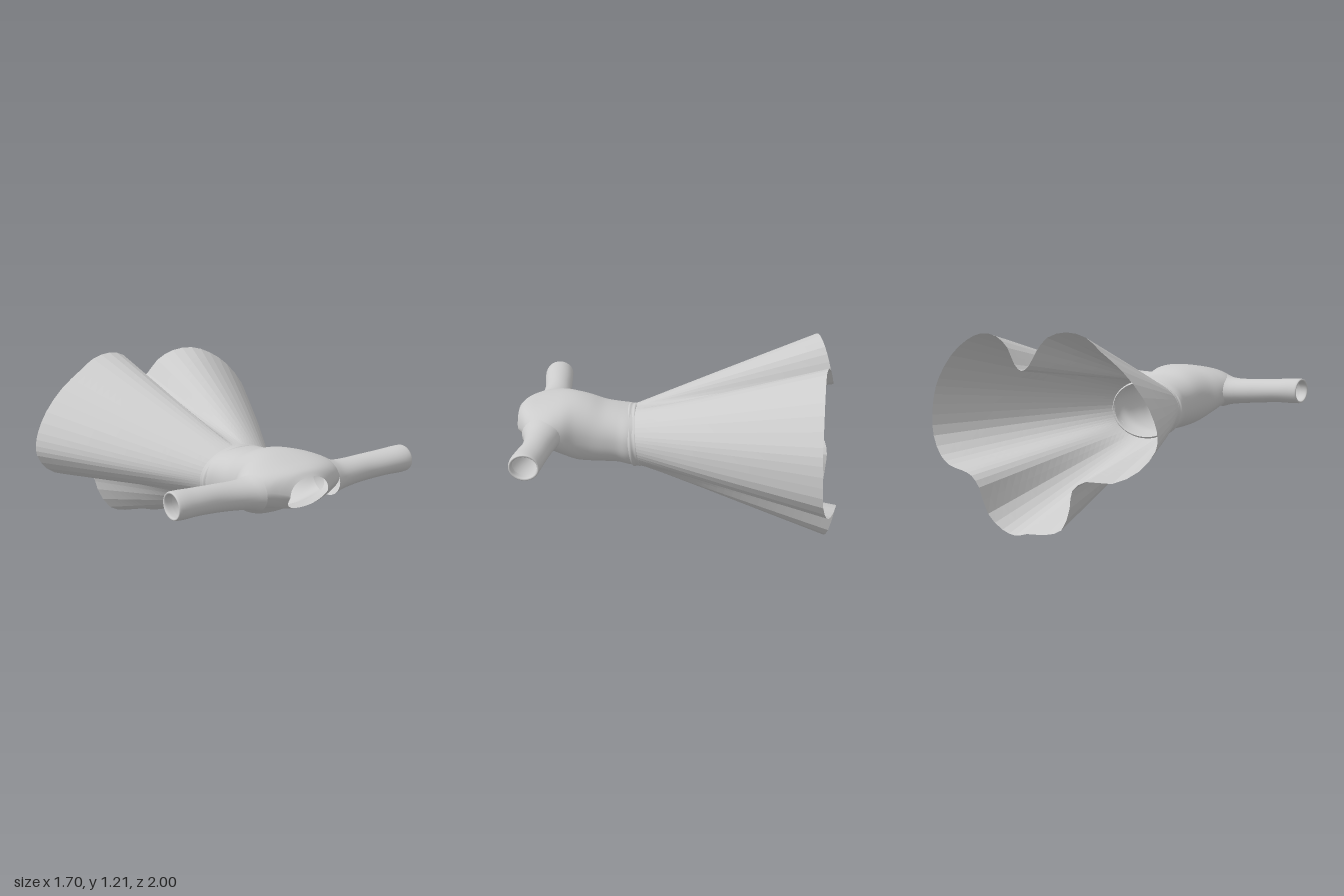
import * as THREE from 'three';

const cloth = new THREE.MeshStandardMaterial({ color: 0xcccccc, side: THREE.DoubleSide });
const pleated = new THREE.MeshStandardMaterial({ color: 0xcccccc, side: THREE.DoubleSide, flatShading: true });
const V = (x, y, z) => new THREE.Vector3(x, y, z);

// Smooth skin over closed rings; steps = rows along the length, skip = test for cut-outs
function loft(name, rings, steps, material = cloth, skip = () => false) {
  const n = rings[0].length, pos = [], idx = [];
  const lines = rings[0].map((_, j) =>
    new THREE.CatmullRomCurve3(rings.map(r => r[j])).getPoints(steps));
  for (let i = 0; i <= steps; i++) for (let j = 0; j < n; j++) pos.push(...lines[j][i].toArray());
  for (let i = 0; i < steps; i++) for (let j = 0; j < n; j++) {
    const k = (j + 1) % n;
    const mid = lines[j][i].clone().add(lines[k][i + 1]).multiplyScalar(0.5);
    if (skip(mid)) continue;
    const a = i * n + j, b = i * n + k;
    idx.push(a, b, b + n, a, b + n, a + n);
  }
  const g = new THREE.BufferGeometry();
  g.setAttribute('position', new THREE.Float32BufferAttribute(pos, 3));
  g.setIndex(idx);
  g.computeVertexNormals();
  const mesh = new THREE.Mesh(g, material);
  mesh.name = name;
  return mesh;
}

const angles = n => Array.from({ length: n }, (_, j) => j / n * Math.PI * 2);
const soft = (v, p) => Math.sign(v) * Math.abs(v) ** p;

// Point on the tilted waist, grown outward by g and moved along the body by dz
const waist = (a, g = 0, dz = 0) => {
  const s = Math.sin(a);
  return V(Math.cos(a) * (0.258 + g), 0.625 + s * (0.183 + g), 0.25 + s * 0.02 + dz);
};

// Wavy skirt hem outline, seen from the front
const hemOutline = [
  [0.845, 0.65], [0.83, 0.78], [0.79, 0.88], [0.67, 1.03], [0.53, 1.13], [0.39, 1.18], [0.25, 1.17],
  [0.14, 1.11], [0.07, 1.02], [0.01, 0.985], [-0.04, 1.02], [-0.08, 1.1], [-0.14, 1.18], [-0.26, 1.215],
  [-0.39, 1.19], [-0.49, 1.12], [-0.63, 1.02], [-0.76, 0.88], [-0.83, 0.75], [-0.85, 0.66], [-0.84, 0.59],
  [-0.76, 0.48], [-0.61, 0.4], [-0.46, 0.4], [-0.37, 0.34], [-0.34, 0.23], [-0.26, 0.09], [-0.14, 0.045],
  [0, 0.03], [0.1, 0.003], [0.2, 0.025], [0.3, 0.11], [0.34, 0.27], [0.4, 0.335], [0.49, 0.355],
  [0.63, 0.365], [0.74, 0.41], [0.83, 0.52],
];

function makeSkirt() {
  const curve = new THREE.CatmullRomCurve3(hemOutline.map(([x, y]) => V(x, y, 0)), true);
  const hem = curve.getPoints(hemOutline.length * 2).slice(0, -1);
  const top = hem.map(p => waist(Math.atan2((p.y - 0.625) / 0.6, p.x / 0.85)));
  // Every pleat has the same length, so wider pleats end further forward
  hem.forEach((p, j) => {
    const d = Math.hypot(p.x - top[j].x, p.y - top[j].y);
    p.z = top[j].z - Math.sqrt(1.27 ** 2 - d * d);
  });
  const middle = hem.map((p, j) => {
    const m = p.clone().lerp(top[j], 0.55);
    m.x *= 1.02;
    return m;
  });
  return loft('skirt', [hem, middle, top], 24, pleated);
}

// Bodice sections: z, half width, top y, bottom y, backward slant of the lower side
const bodiceKeys = [
  [0.25, 0.25, 0.805, 0.445, 0.015], [0.3, 0.255, 0.813, 0.455, 0.01], [0.36, 0.243, 0.822, 0.468, 0],
  [0.45, 0.243, 0.838, 0.47, 0], [0.54, 0.25, 0.868, 0.472, 0], [0.62, 0.272, 0.884, 0.485, 0],
  [0.7, 0.315, 0.886, 0.53, 0], [0.78, 0.34, 0.876, 0.575, 0.01], [0.86, 0.325, 0.862, 0.592, 0.03],
  [0.92, 0.265, 0.85, 0.598, 0.05], [0.96, 0.195, 0.835, 0.6, 0.06], [0.99, 0.135, 0.808, 0.602, 0.08],
];

function makeBodice() {
  const rings = bodiceKeys.map(([z, w, top, bottom, slant]) => angles(64).map(a => {
    const c = soft(Math.cos(a), 0.88), s = soft(Math.sin(a), 0.88);
    return V(c * w, (top + bottom) / 2 + s * (top - bottom) / 2, z - slant * Math.max(0, -s));
  }));
  // Armholes open into the sleeves
  const armhole = p => Math.abs(p.x) > 0.24 &&
    ((p.y - 0.72) / 0.072) ** 2 + ((p.z - 0.815) / 0.085) ** 2 < 1;
  return loft('bodice', rings, 66, cloth, armhole);
}

// Sleeve sections: x, centre y, centre z, half height, half depth; the last ones turn inside
const sleeveKeys = [
  [0.26, 0.715, 0.812, 0.11, 0.132], [0.32, 0.715, 0.812, 0.092, 0.112], [0.39, 0.718, 0.812, 0.084, 0.1],
  [0.52, 0.728, 0.816, 0.08, 0.09], [0.68, 0.74, 0.832, 0.078, 0.094], [0.79, 0.745, 0.842, 0.082, 0.094],
  [0.83, 0.746, 0.842, 0.078, 0.088], [0.828, 0.746, 0.842, 0.068, 0.078], [0.78, 0.744, 0.842, 0.066, 0.076],
];

function makeSleeve(side) {
  const rings = sleeveKeys.map(([x, y, z, h, d]) =>
    angles(28).map(a => V(side * x, y + Math.cos(a) * h, z + Math.sin(a) * d)));
  if (side < 0) rings.reverse();
  return loft(side > 0 ? 'leftSleeve' : 'rightSleeve', rings, 40);
}

// Narrow raised band hiding the waist seam
function makeWaistband() {
  const section = [[-0.004, -0.025], [0.008, -0.014], [0.004, 0.005], [0.01, 0.022], [0, 0.036]];
  return loft('waistband', section.map(([g, dz]) => angles(64).map(a => waist(a, g, dz))), 12);
}

export function createModel() {
  const model = new THREE.Group();
  model.name = 'dress';
  model.add(makeSkirt(), makeBodice(), makeWaistband(), makeSleeve(1), makeSleeve(-1));
  return model;
}
